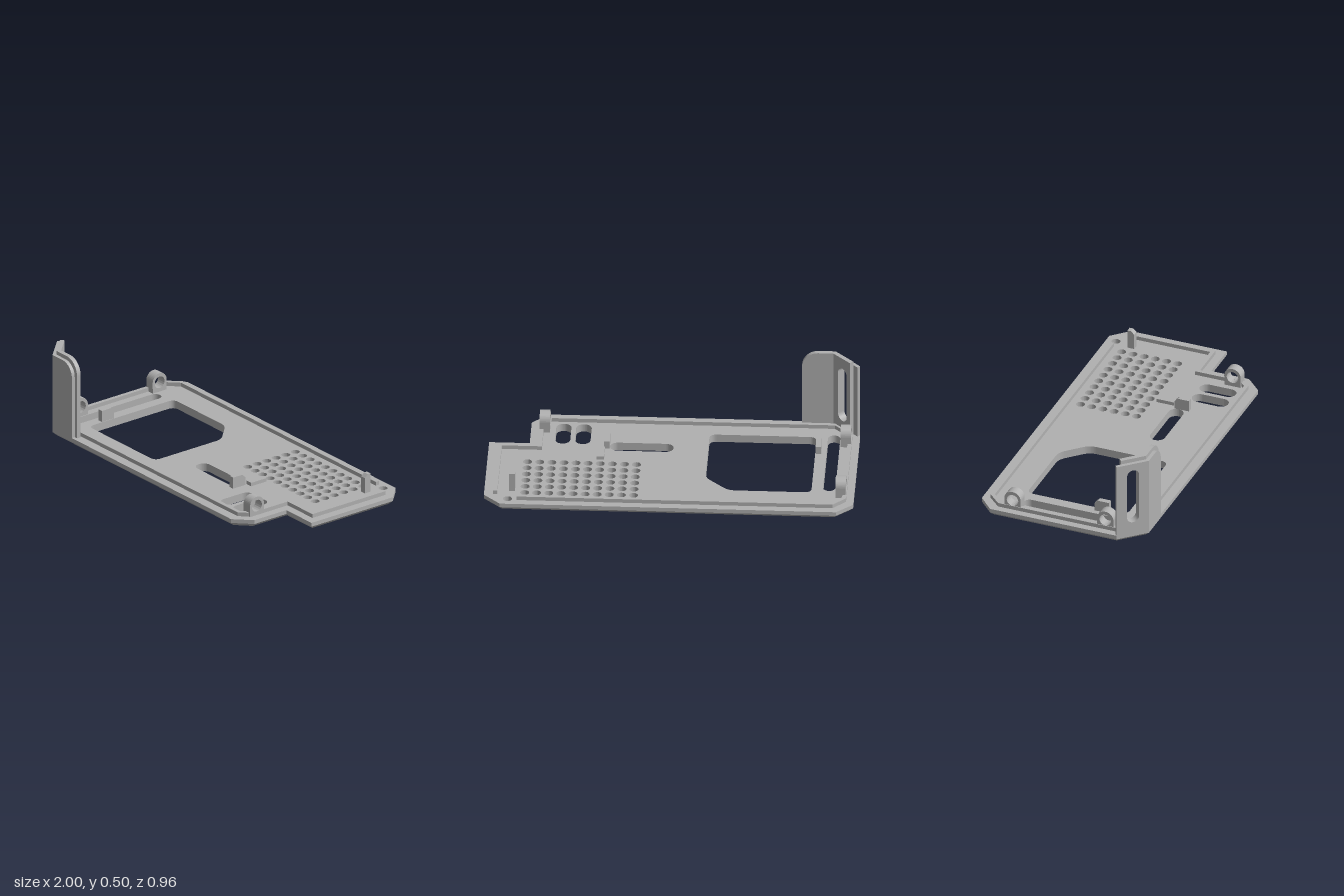
import * as THREE from 'three';

const V = (x, y) => new THREE.Vector2(x, y);
const grey = new THREE.MeshStandardMaterial({ color: 0xb0b0b0 });
grey.name = 'grey';

const PLATE = 0.045; // top of the base plate

// Plan points are written as (x, z) and drawn as (x, -z)
const plan = pts => pts.map(([x, z]) => V(x, -z));

// Mitred offset of a polyline to its left side
function offset(pts, d, closed) {
  const n = pts.length;
  return pts.map((p, i) => {
    const prev = closed || i > 0 ? pts[(i + n - 1) % n] : null;
    const next = closed || i < n - 1 ? pts[(i + 1) % n] : null;
    const a = (prev ? p.clone().sub(prev) : next.clone().sub(p)).normalize();
    const b = (next ? next.clone().sub(p) : p.clone().sub(prev)).normalize();
    const na = V(-a.y, a.x), nb = V(-b.y, b.x);
    const m = na.clone().add(nb);
    return p.clone().addScaledVector(m, d / (1 + na.dot(nb)));
  });
}

function circle(x, y, r) {
  return new THREE.Path().absarc(x, y, r, 0, Math.PI * 2, true);
}

// Rounded-end slot between two corners
function slot(x0, y0, x1, y1) {
  const p = new THREE.Path(), w = x1 - x0, h = y1 - y0;
  if (h > w) {
    const r = w / 2;
    p.absarc(x0 + r, y0 + r, r, Math.PI, Math.PI * 2, false);
    p.absarc(x0 + r, y1 - r, r, 0, Math.PI, false);
  } else {
    const r = h / 2;
    p.absarc(x1 - r, y0 + r, r, -Math.PI / 2, Math.PI / 2, false);
    p.absarc(x0 + r, y0 + r, r, Math.PI / 2, Math.PI * 1.5, false);
  }
  p.closePath();
  return p;
}

// Polygon with softened corners
function rounded(pts, r) {
  const p = new THREE.Path(), n = pts.length;
  pts.forEach((c, i) => {
    const a = pts[(i + n - 1) % n].clone().sub(c).setLength(r).add(c);
    const b = pts[(i + 1) % n].clone().sub(c).setLength(r).add(c);
    if (i) p.lineTo(a.x, a.y); else p.moveTo(a.x, a.y);
    p.quadraticCurveTo(c.x, c.y, b.x, b.y);
  });
  p.closePath();
  return p;
}

function extrude(shape, depth, steps = 1) {
  return new THREE.ExtrudeGeometry(shape, { depth, steps, bevelEnabled: false, curveSegments: 10 });
}

export function createModel() {
  const model = new THREE.Group();
  model.name = 'mountingTray';
  const add = (name, geo, parent = model) => {
    const m = new THREE.Mesh(geo, grey);
    m.name = name;
    parent.add(m);
    return m;
  };

  // Base plate with cut-outs and a chamfered lower edge
  const outline = plan([
    [-1, -0.395], [-1, 0.345], [-0.87, 0.48], [0.69, 0.48], [0.78, 0.39],
    [0.78, 0.17], [1, 0.17], [1, -0.39], [0.91, -0.48], [-0.91, -0.48],
  ]);
  const shape = new THREE.Shape(outline);
  shape.holes.push(
    rounded(plan([[-0.767, -0.275], [-0.767, 0.312], [-0.187, 0.312], [-0.187, -0.145], [-0.317, -0.275]]), 0.04),
    slot(-0.895, -0.335, -0.828, 0.255),
    slot(0, -0.2, 0.345, -0.115),
    slot(0.453, -0.385, 0.537, -0.175),
    slot(0.563, -0.385, 0.645, -0.175),
    circle(0.87, 0.425, 0.025),
  );
  for (let c = 0; c < 10; c++)
    for (let r = 0; r < 6; r++)
      shape.holes.push(circle(0.192 + c * 0.0655, 0.355 - r * 0.0655, 0.0245));
  const base = extrude(shape, PLATE, 2).rotateX(-Math.PI / 2);
  const inset = offset(outline, 0.025, true);
  const pos = base.attributes.position;
  for (let i = 0; i < pos.count; i++) {
    if (pos.getY(i) > 0.001) continue;
    const q = V(pos.getX(i), -pos.getZ(i));
    const k = outline.findIndex(o => o.distanceTo(q) < 1e-4);
    if (k >= 0) pos.setXYZ(i, inset[k].x, 0, -inset[k].y);
  }
  base.computeVertexNormals();
  add('basePlate', base);

  // Raised locating rim, open at the back left corner
  const rim = plan([
    [0.82, -0.437], [-0.89, -0.437], [-0.96, -0.365], [-0.96, 0.335], [-0.87, 0.427],
    [0.68, 0.427], [0.733, 0.372], [0.733, 0.124], [0.95, 0.124], [0.95, -0.38],
  ]);
  const rimShape = new THREE.Shape([...rim, ...offset(rim, 0.022, false).reverse()]);
  add('rim', extrude(rimShape, 0.022).rotateX(-Math.PI / 2).translate(0, PLATE, 0));

  // Corner wall: two layers, the inner one stands a little proud
  const frontPanel = (x0, x1, top, r) => {
    const s = new THREE.Shape();
    s.moveTo(x0, PLATE);
    s.lineTo(x1, PLATE);
    s.absarc(x1 - r, top - r, r, 0, Math.PI / 2, false);
    s.lineTo(x0, top);
    return s;
  };
  const slottedPanel = (x0, x1, top) => {
    const s = new THREE.Shape([V(x0, PLATE), V(x1, PLATE), V(x1, top), V(x0, top)]);
    s.holes.push(slot(0.06, 0.11, 0.13, 0.438));
    return s;
  };
  add('frontWallOuter', extrude(frontPanel(-0.87, -0.7, 0.478, 0.08), 0.02).translate(0, 0, 0.46));
  add('frontWallInner', extrude(frontPanel(-0.861, -0.68, 0.5, 0.09), 0.025).translate(0, 0, 0.435));
  const corner = new THREE.Group();
  corner.name = 'slottedCornerWall';
  corner.position.set(-1, 0, 0.345);
  corner.rotation.y = -Math.atan2(0.135, 0.13);
  model.add(corner);
  add('cornerWallOuter', extrude(slottedPanel(0, 0.187, 0.478), 0.02).translate(0, 0, -0.02), corner);
  add('cornerWallInner', extrude(slottedPanel(0.033, 0.178, 0.5), 0.025).translate(0, 0, -0.045), corner);

  // Side profiles are drawn as (-z, y) and extruded along x
  const sidePart = (name, s, x, z, width) => {
    const m = add(name, extrude(s, width).rotateY(Math.PI / 2));
    m.position.set(x - width / 2, 0, z);
  };

  // Eyelet lugs
  const lug = new THREE.Shape();
  lug.moveTo(-0.047, PLATE);
  lug.lineTo(0.047, PLATE);
  lug.absarc(0, 0.105, 0.048, 0, Math.PI, false);
  lug.holes.push(circle(0, 0.1, 0.034));
  for (const [x, z] of [[-0.928, -0.282], [-0.928, 0.26], [0.705, 0.335]])
    sidePart('eyeletLug', lug, x, z, 0.056);

  // Chamfered stops beside the openings
  const stop = new THREE.Shape([
    V(-0.042, PLATE), V(0.042, PLATE), V(0.042, 0.09), V(0.022, 0.11), V(-0.042, 0.11),
  ]);
  for (const x of [-0.785, 0.36]) sidePart('stop', stop, x, 0.175, 0.03);

  // Low pad next to the centre stop
  add('pad', new THREE.BoxGeometry(0.04, 0.02, 0.105).translate(0.39, PLATE + 0.01, 0.068));

  // Back post with a sloped tip
  const post = new THREE.Shape([
    V(-0.02, PLATE), V(0.02, PLATE), V(0.02, 0.153), V(0, 0.153), V(-0.02, 0.135),
  ]);
  sidePart('post', post, 0.85, -0.323, 0.032);

  return model;
}
